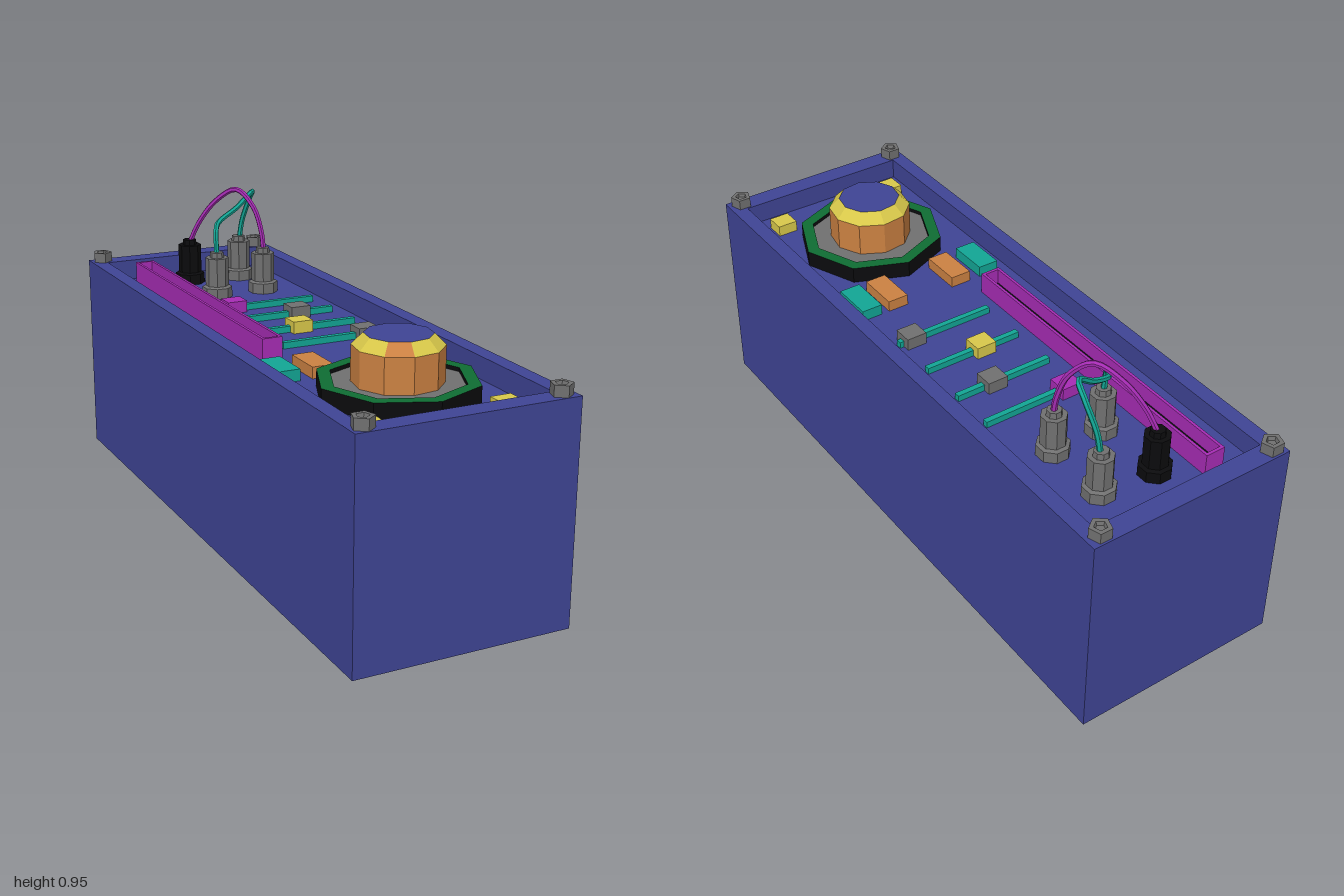
import * as THREE from 'three';

export function createModel() {
  const group = new THREE.Group();
  const mat = (name, color, extra = {}) => {
    const m = new THREE.MeshStandardMaterial({ color, ...extra });
    m.name = name;
    m.flatShading = true;
    return m;
  };
  const blue = mat('blue', 0x3f4494);
  const purple = mat('purple', 0xa62cb4);
  const teal = mat('teal', 0x12a594);
  const green = mat('green', 0x0f6d33);
  const yellow = mat('yellow', 0xd8c84a);
  const orange = mat('orange', 0xcb8142);
  const grey = mat('grey', 0x707070);
  const black = mat('black', 0x0b0b0d);

  const FLOOR = 0.6, TOP = 0.667;

  const add = (name, geo, material, x = 0, y = 0, z = 0) => {
    const mesh = new THREE.Mesh(geo, material);
    mesh.name = name;
    mesh.position.set(x, y, z);
    group.add(mesh);
    return mesh;
  };
  // Box given by centre x/z, bottom and top heights
  const box = (name, m, x, z, w, d, y0, y1) =>
    add(name, new THREE.BoxGeometry(w, y1 - y0, d), m, x, (y0 + y1) / 2, z);
  const rectPoints = (w, d) =>
    [[-w, -d], [w, -d], [w, d], [-w, d]].map(([x, y]) => new THREE.Vector2(x / 2, y / 2));
  const polyPoints = (r, n) => Array.from({ length: n }, (_, i) =>
    new THREE.Vector2(r * Math.cos(i * 2 * Math.PI / n), r * Math.sin(i * 2 * Math.PI / n)));
  // Upright frame extruded from an outline with a hole
  const frame = (outer, inner, h) => {
    const shape = new THREE.Shape(outer);
    shape.holes.push(new THREE.Path(inner));
    return new THREE.ExtrudeGeometry(shape, { depth: h, bevelEnabled: false }).rotateX(-Math.PI / 2);
  };
  const lathe = (pts, n, start = 0) =>
    new THREE.LatheGeometry(pts.map(p => new THREE.Vector2(...p)), n, start);

  // Case with a raised rim around the sunken panel
  box('caseBody', blue, 0, 0, 0.667, 2, 0, FLOOR);
  add('caseRim', frame(rectPoints(0.667, 2), rectPoints(0.57, 1.87), TOP - FLOOR), blue, 0, FLOOR, 0);

  // Corner bolts with a shallow socket
  for (const x of [-0.295, 0.29]) for (const z of [-0.967, 0.967]) {
    add('cornerBolt', lathe([[0.033, 0], [0.033, 0.033], [0.019, 0.033], [0.015, 0.022], [0, 0.022]], 5),
      grey, x, TOP, z);
  }

  // Long ribbon slot
  add('slotFrame', frame(rectPoints(0.064, 1.06), rectPoints(0.046, 1.04), 0.069), purple, -0.166, FLOOR, -0.36);
  box('slotFloor', black, -0.166, -0.36, 0.046, 1.04, FLOOR, 0.62);

  // Sliders
  const sliders = [[-0.383, -0.047, purple], [-0.24, 0.112, grey], [-0.083, 0.043, yellow], [0.072, 0.19, grey]];
  for (const [z, x, m] of sliders) {
    box('sliderTrack', teal, 0.074, z, 0.325, 0.018, FLOOR, 0.62);
    box('sliderHandle', m, x, z, 0.066, 0.062, FLOOR, 0.638);
  }

  // Push buttons
  for (const [x, m] of [[-0.212, teal], [-0.106, orange], [0.128, orange], [0.222, teal]]) {
    box('button', m, x, 0.313, 0.068, 0.135, FLOOR, 0.635);
  }
  for (const x of [-0.212, 0.2]) box('smallButton', yellow, x, 0.85, 0.065, 0.062, FLOOR, 0.635);

  // Octagonal dial surround and its plate
  const DX = 0.005, DZ = 0.61;
  add('dialRing', frame(polyPoints(0.234, 8), polyPoints(0.195, 8), 0.052), [green, black], DX, FLOOR, DZ);
  add('dialPlate', new THREE.CylinderGeometry(0.196, 0.196, 0.04, 8).rotateY(Math.PI / 2),
    grey, DX, FLOOR + 0.02, DZ);

  // Knob: ten-sided body, bevel with one pointer facet, flat cap
  const step = Math.PI / 5, start = -10 * Math.PI / 180;
  const body = (r0, r1, y0, y1, n, t, len, name, m) =>
    add(name, new THREE.CylinderGeometry(r1, r0, y1 - y0, n, 1, true, t, len), m, DX, (y0 + y1) / 2, DZ);
  body(0.13, 0.13, 0.62, 0.745, 10, start, Math.PI * 2, 'knobBody', orange);
  body(0.13, 0.097, 0.745, 0.778, 9, start, step * 9, 'knobBevel', yellow);
  body(0.13, 0.097, 0.745, 0.778, 1, start - step, step, 'knobPointer', orange);
  add('knobCap', new THREE.CylinderGeometry(0.097, 0.097, 0.008, 10, 1, false, start), blue, DX, 0.774, DZ);

  // Sockets with a flange, collar and tip
  const jackProfile = [[0.05, 0], [0.05, 0.035], [0.039, 0.04], [0.039, 0.135], [0.024, 0.135], [0.022, 0.153], [0, 0.153]];
  const jacks = [[-0.03, -0.803, black], [0.147, -0.785, grey], [-0.022, -0.58, grey], [0.147, -0.58, grey]];
  for (const [x, z, m] of jacks) add('socket', lathe(jackProfile, 8, Math.PI / 8), m, x, FLOOR, z);

  // Patch cables
  const cable = (name, m, pts) => {
    const curve = new THREE.CatmullRomCurve3(pts.map(p => new THREE.Vector3(...p)));
    add(name, new THREE.TubeGeometry(curve, 28, 0.009, 6), m);
  };
  cable('purpleCable', purple, [[-0.03, 0.74, -0.803], [-0.005, 0.815, -0.775], [0.04, 0.895, -0.73],
    [0.092, 0.94, -0.67], [0.13, 0.885, -0.615], [0.147, 0.8, -0.588], [0.15, 0.74, -0.58]]);
  cable('tealCable', teal, [[-0.022, 0.74, -0.58], [-0.017, 0.825, -0.595], [0.015, 0.843, -0.64],
    [0.09, 0.878, -0.667], [0.158, 0.924, -0.69], [0.172, 0.9, -0.735], [0.158, 0.81, -0.775], [0.15, 0.74, -0.785]]);

  return group;
}
